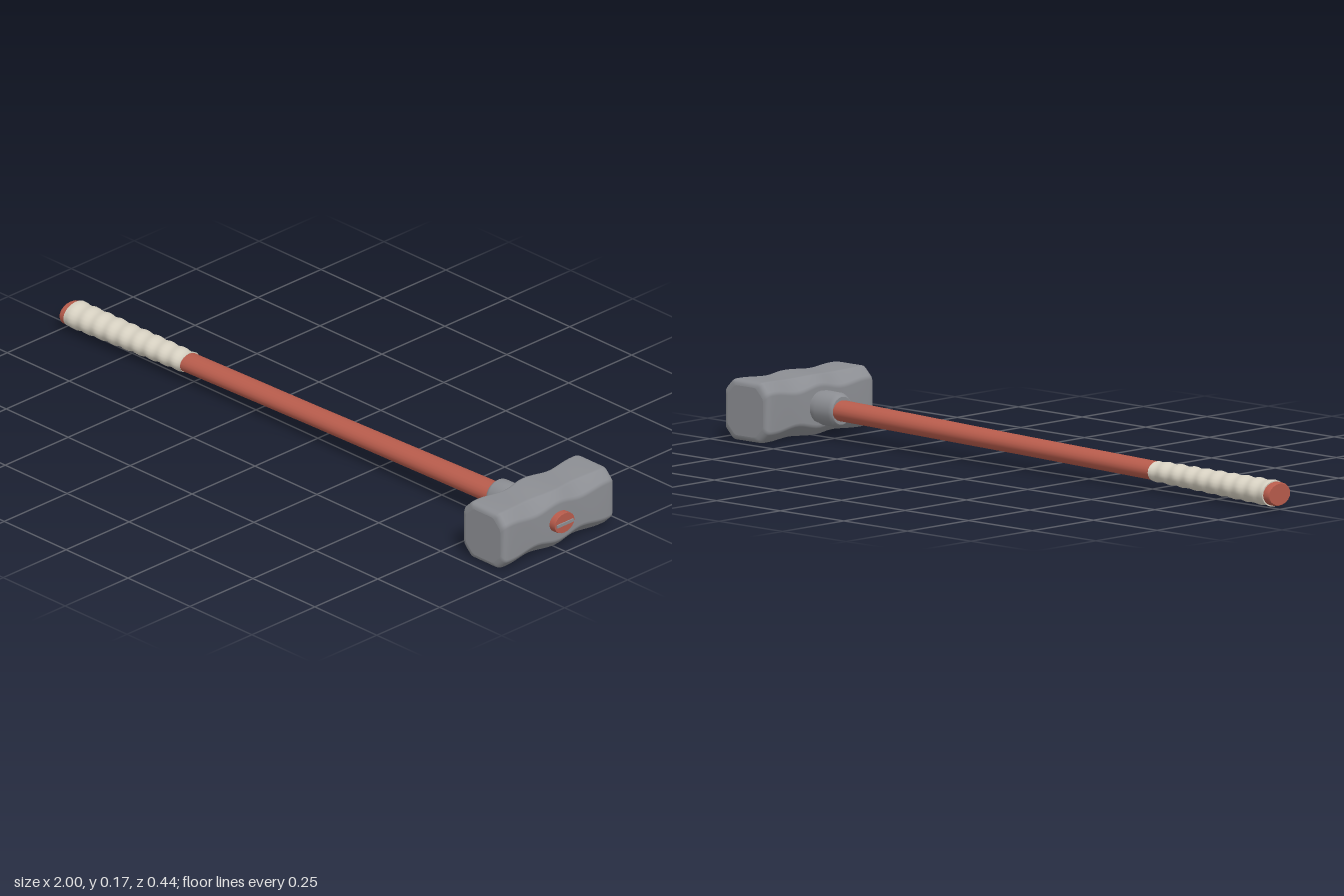
import * as THREE from 'three';

const mat = (name, color) => {
  const m = new THREE.MeshStandardMaterial({ color });
  m.name = name;
  return m;
};

// Skin closed rings (anticlockwise around the direction of travel) and cap both ends
function loft(rings) {
  const n = rings[0].length, pos = [], idx = [];
  rings.forEach(r => r.forEach(p => pos.push(...p)));
  for (let i = 0; i < rings.length - 1; i++) {
    for (let j = 0; j < n; j++) {
      const k = (j + 1) % n, a = i * n + j, b = i * n + k;
      idx.push(a, b, a + n, b, b + n, a + n);
    }
  }
  [rings[0], rings[rings.length - 1]].forEach((r, end) => {
    const base = pos.length / 3;
    r.forEach(p => pos.push(...p));
    pos.push(...[0, 1, 2].map(c => r.reduce((s, p) => s + p[c], 0) / n));
    for (let j = 0; j < n; j++) {
      const a = base + j, b = base + (j + 1) % n;
      if (end) idx.push(base + n, a, b);
      else idx.push(base + n, b, a);
    }
  });
  const g = new THREE.BufferGeometry();
  g.setAttribute('position', new THREE.Float32BufferAttribute(pos, 3));
  g.setIndex(idx);
  g.computeVertexNormals();
  return g;
}

// The shaft rises gently towards the head
const axisY = x => 0.069 + 0.0235 * x;

// Oval ring around the shaft axis; extra(angle) adds to the radius
function oval(x, ry, rz, extra = () => 0, n = 20) {
  return Array.from({ length: n }, (_, j) => {
    const a = j / n * Math.PI * 2, e = extra(a);
    return [x, axisY(x) + (ry + e) * Math.cos(a), (rz + e) * Math.sin(a)];
  });
}

// Octagon with softened corners, across the head at depth z
function octagon(z, hx, hy, c) {
  const s = 0.007, d = s * 0.7, quarter = [];
  quarter.push([hx, hy - c - s], [hx - 0.0015, hy - c], [hx - d, hy - c + d]);
  quarter.push([hx - c + d, hy - d], [hx - c, hy - 0.0015], [hx - c - s, hy]);
  const mirrored = (sx, sy) => quarter.map(([x, y]) => [x * sx, y * sy]);
  return [
    ...quarter, ...mirrored(-1, 1).reverse(),
    ...mirrored(-1, -1), ...mirrored(1, -1).reverse(),
  ].map(([x, y]) => [0.89 + x, 0.0905 + y, z]);
}

export function createModel() {
  const group = new THREE.Group();
  const red = mat('red wood', 0xb85c4c);
  const steel = mat('grey steel', 0x8c8e93);
  const cream = mat('cream wrap', 0xd8d2c3);
  const add = (name, geometry, material) => {
    const m = new THREE.Mesh(geometry, material);
    m.name = name;
    group.add(m);
    return m;
  };

  // Shaft, with a flared butt and the end showing through the head
  add('handle', loft([
    [-1, 0.031, 0.043], [-0.994, 0.034, 0.047], [-0.975, 0.034, 0.047],
    [-0.8, 0.031, 0.042], [-0.5, 0.027, 0.036], [0, 0.027, 0.035],
    [0.5, 0.029, 0.037], [0.75, 0.030, 0.039], [0.99, 0.031, 0.040], [0.996, 0.030, 0.039],
  ].map(s => oval(...s))), red);

  // Spiral-wrapped grip
  const wrap = [];
  for (let i = 0; i <= 72; i++) {
    const t = i / 72, x = -0.98 + 0.46 * t;
    wrap.push(oval(x, 0.037 - 0.008 * t, 0.049 - 0.010 * t,
      a => 0.0018 * Math.sin(t * 9 * Math.PI * 2 - a)));
  }
  add('grip', loft(wrap), cream);

  // Bevelled collar behind the head
  add('collar', loft([
    [0.72, 0.040, 0.040], [0.722, 0.043, 0.043], [0.732, 0.050, 0.047],
    [0.785, 0.050, 0.047], [0.80, 0.046, 0.045], [0.83, 0.044, 0.043],
  ].map(s => oval(...s))), steel);

  // Head: rounded ends, slight waists and a fuller middle
  const head = [];
  const end = [[0.22, 0.016, 0], [0.2185, 0.009, 0], [0.214, 0.004, 0], [0.208, 0.001, 0], [0.198, 0, 0]];
  const section = (z, inset) => {
    const wave = Math.cos(Math.min(1, Math.abs(z) / 0.09) * Math.PI);
    const out = THREE.MathUtils.smoothstep(Math.abs(z), 0.09, 0.185);
    const low = Math.abs(z) < 0.09 ? (1 - wave) / 2 : 1 - out;
    const chamfer = Math.abs(z) < 0.09 ? 0.027 + 0.010 * low : 0.037 - 0.007 * out;
    return octagon(z, 0.086 - 0.002 * low - inset, 0.0875 - 0.004 * low - inset, chamfer);
  };
  end.forEach(([z, inset]) => head.push(section(-z, inset)));
  for (let i = 1; i < 24; i++) head.push(section(-0.198 + 0.396 * i / 24, 0));
  [...end].reverse().forEach(([z, inset]) => head.push(section(z, inset)));
  add('head', loft(head), steel);

  // Wedge driven into the end of the shaft
  const wedge = add('wedge', new THREE.BoxGeometry(0.03, 0.009, 0.066), steel);
  wedge.position.set(0.985, 0.0915, 0);

  return group;
}
